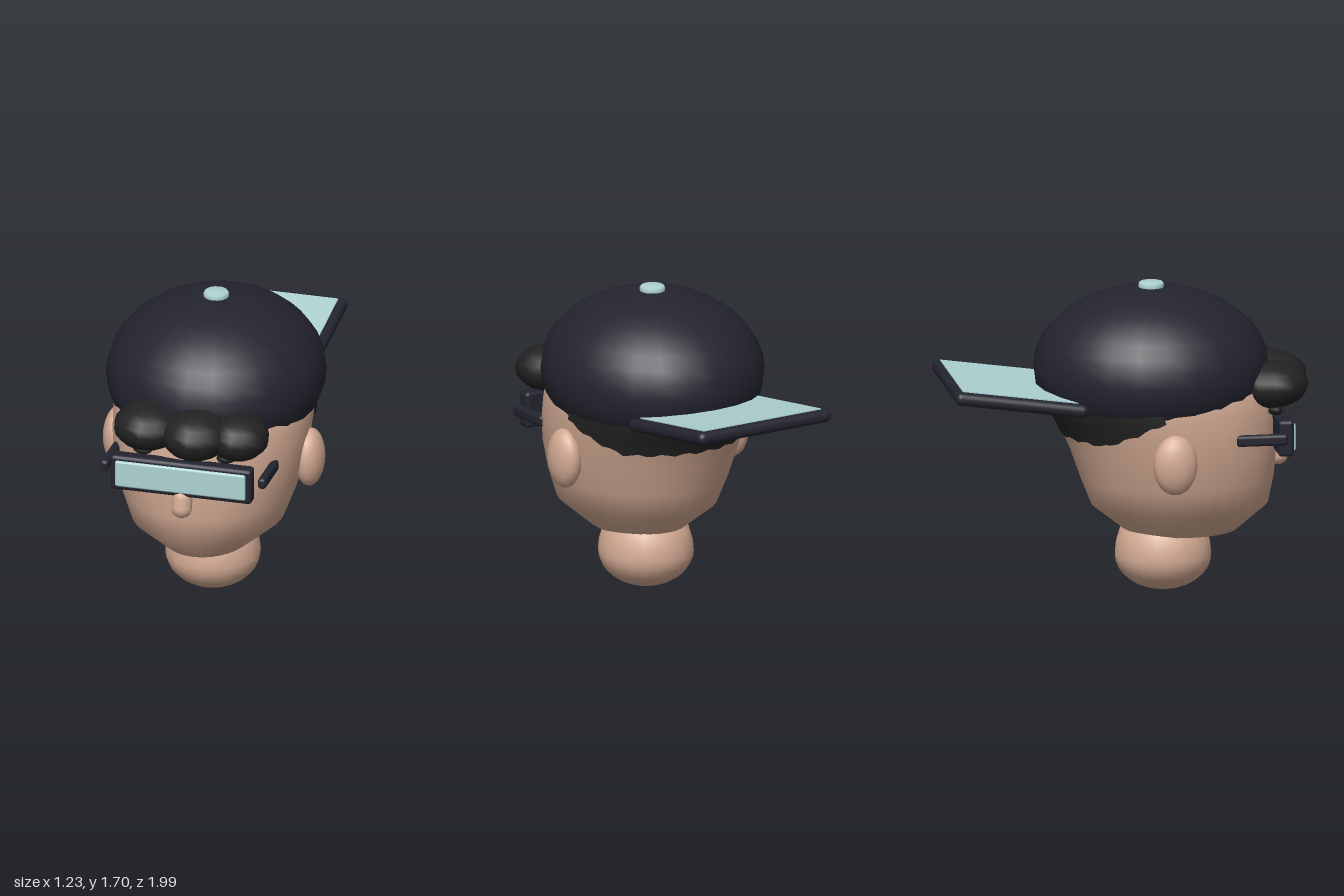
import * as THREE from 'three';
import { mergeVertices } from 'three/addons/utils/BufferGeometryUtils.js';
import { RoundedBoxGeometry } from 'three/addons/geometries/RoundedBoxGeometry.js';

const material = (name, color, side = THREE.FrontSide) => {
  const m = new THREE.MeshStandardMaterial({ color, side });
  m.name = name;
  return m;
};

// Head sections: height, half width, front z, back z
const SECTIONS = [
  [0.33, 0.235, 0.6, 0],
  [0.48, 0.415, 0.77, -0.19],
  [0.63, 0.47, 0.8, -0.25],
  [0.8, 0.515, 0.815, -0.31],
  [0.95, 0.535, 0.81, -0.375],
  [1.05, 0.54, 0.8, -0.435],
  [1.15, 0.535, 0.77, -0.45],
  [1.28, 0.48, 0.68, -0.4],
  [1.45, 0.2, 0.4, -0.1],
  [1.5, 0, 0.15, 0.15],
];

// Point on the head surface, moved outwards by grow; angle 0 is the front
function headPoint(y, angle, grow = 0) {
  let i = 0;
  while (i < SECTIONS.length - 2 && y > SECTIONS[i + 1][0]) i++;
  const a = SECTIONS[i], b = SECTIONS[i + 1];
  const t = (y - a[0]) / (b[0] - a[0]);
  const [, hw, zf, zb] = a.map((v, k) => v + (b[k] - v) * t);
  return [
    Math.sin(angle) * (hw + grow), y,
    (zf + zb) / 2 + Math.cos(angle) * ((zf - zb) / 2 + grow),
  ];
}

// Smooth surface from a function of u and v
function surface(nu, nv, fn) {
  let g = new THREE.PlaneGeometry(1, 1, nu, nv);
  const p = g.attributes.position, uv = g.attributes.uv;
  for (let i = 0; i < p.count; i++) p.setXYZ(i, ...fn(uv.getX(i), uv.getY(i)));
  g.deleteAttribute('uv');
  g.deleteAttribute('normal');
  g = mergeVertices(g, 1e-5);
  g.computeVertexNormals();
  return g;
}

export function createModel() {
  const model = new THREE.Group();
  const skin = material('skin', 0xd3aa93);
  const navy = material('navy', 0x242430);
  const hair = material('black hair', 0x222222, THREE.DoubleSide);
  const aqua = material('pale aqua', 0xaed2d2);

  const add = (name, geometry, mat, pos = [0, 0, 0], scale = [1, 1, 1], rot = [0, 0, 0]) => {
    const mesh = new THREE.Mesh(geometry, mat);
    mesh.name = name;
    mesh.position.set(...pos);
    mesh.scale.set(...scale);
    mesh.rotation.set(...rot);
    model.add(mesh);
    return mesh;
  };
  const ball = (w, h) => new THREE.SphereGeometry(1, w, h);

  // Head with flat underside
  const rows = SECTIONS.length - 1;
  add('head', surface(32, rows, (u, v) =>
    headPoint(SECTIONS[Math.round(v * rows)][0], u * Math.PI * 2)), skin);
  add('chin', new THREE.CircleGeometry(1, 32), skin,
    [0, 0.33, 0.3], [0.235, 0.3, 1], [Math.PI / 2, 0, 0]);

  // Neck, rounded below
  const neck = [];
  for (let i = 0; i <= 8; i++) {
    const a = (i / 8) * Math.PI / 2;
    neck.push(new THREE.Vector2(Math.sin(a) * 0.258, 0.2 - Math.cos(a) * 0.195));
  }
  neck.push(new THREE.Vector2(0.252, 0.26), new THREE.Vector2(0.23, 0.335), new THREE.Vector2(0.18, 0.4));
  add('neck', new THREE.LatheGeometry(neck, 20), skin, [0, 0, 0.2], [1, 1, 1.02]);

  // Nose
  add('nose', new THREE.CapsuleGeometry(0.057, 0.055, 5, 12), skin,
    [0, 0.75, 0.822], [1, 1, 1], [-0.2, 0, 0]);

  // Ears, eyebrows and glasses arms on both sides
  for (const s of [1, -1]) {
    add('ear', ball(16, 12), skin, [s * 0.537, 0.807, 0.18], [0.08, 0.165, 0.121]);
    add('eyebrow', ball(12, 8), hair, [s * 0.235, 1.022, 0.775], [0.055, 0.028, 0.04], [0, 0, s * 0.1]);
    add('glassesArm', new RoundedBoxGeometry(0.046, 0.062, 0.28, 2, 0.018), navy, [s * 0.441, 0.905, 0.67]);
  }

  // Glasses front and single wide lens
  add('glassesFrame', new RoundedBoxGeometry(0.79, 0.2, 0.085, 2, 0.02), navy, [0, 0.895, 0.812]);
  add('lens', new RoundedBoxGeometry(0.73, 0.15, 0.05, 2, 0.012), aqua, [0, 0.895, 0.843]);

  // Hair at the nape: a strip over the back of the head with an uneven lower edge
  add('backHair', surface(40, 6, (u, v) => {
    const angle = Math.PI * (0.53 + 0.94 * u);
    const z = headPoint(1, angle)[2];
    const t = THREE.MathUtils.clamp((0.14 - z) / 0.36, 0, 1);
    const low = 1.04 - 0.15 * t + 0.008 * Math.sin(u * 75);
    return headPoint(low + (1.2 - low) * v, angle, 0.012);
  }), hair);

  // Fringe tufts: position, radii
  for (const [pos, radii] of [
    [[-0.205, 1.16, 0.76], [0.19, 0.126, 0.2]],
    [[0.07, 1.15, 0.785], [0.19, 0.135, 0.21]],
    [[0.29, 1.137, 0.733], [0.17, 0.125, 0.178]],
  ]) add('fringeTuft', ball(12, 10), hair, pos, radii);

  // Cap dome and top button
  add('capDome', ball(24, 18), navy, [0, 1.24, 0.135], [0.592, 0.44, 0.64]);
  const button = [[0, 1.64], [0.05, 1.645], [0.068, 1.66], [0.07, 1.69], [0.062, 1.703], [0, 1.706]];
  add('capButton', new THREE.LatheGeometry(button.map(p => new THREE.Vector2(...p)), 16), aqua, [0, 0, 0.135]);

  // Brim at the back with a pale top panel
  const brim = new THREE.Group();
  brim.name = 'brim';
  brim.position.set(0, 1.138, -0.635);
  brim.rotation.x = 0.14;
  const board = add('brimBoard', new RoundedBoxGeometry(0.85, 0.072, 0.735, 3, 0.034), navy);
  const panel = add('brimPanel', new THREE.BoxGeometry(0.755, 0.009, 0.66), aqua, [0, 0.037, 0]);
  brim.add(board, panel);
  model.add(brim);

  return model;
}
